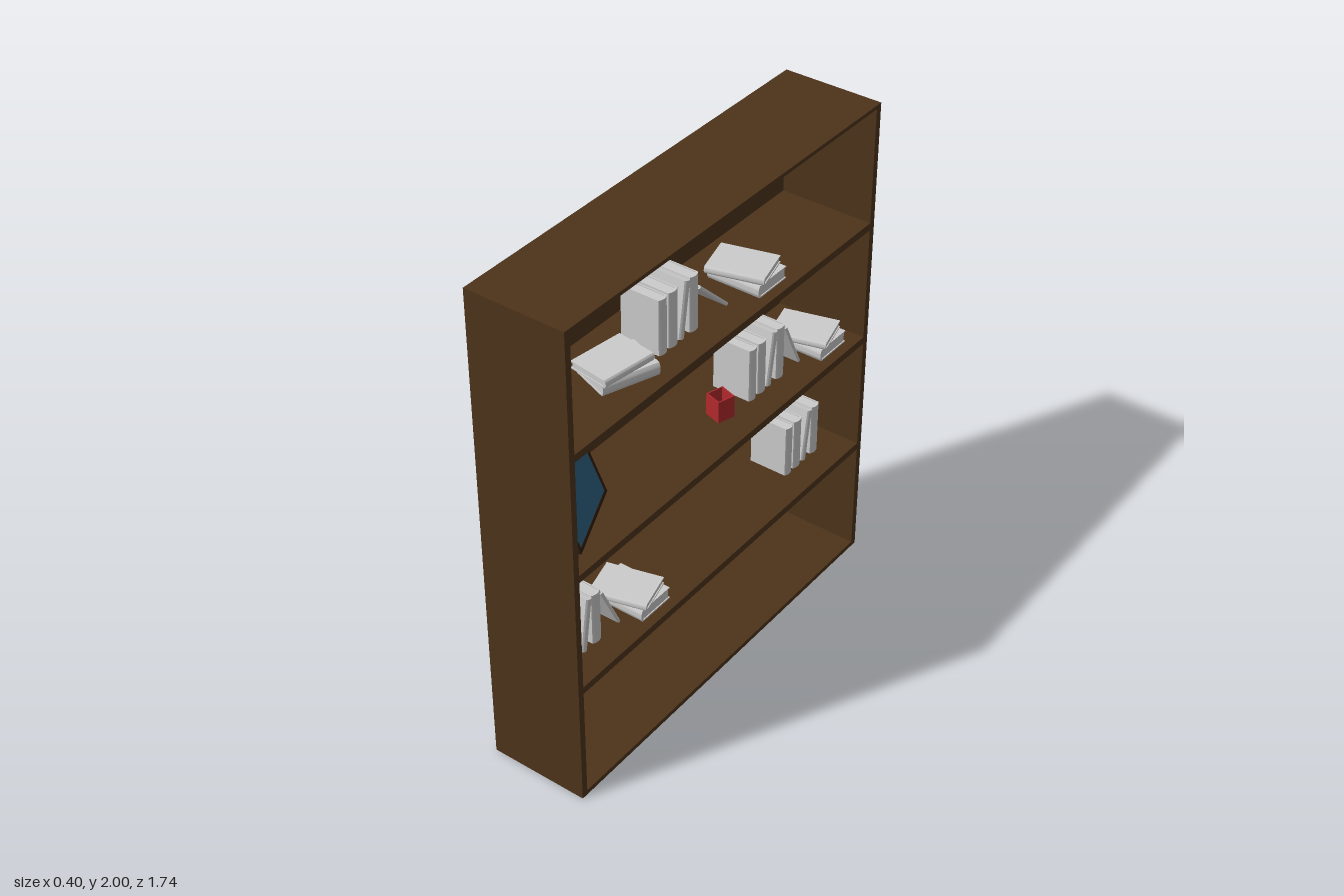
import * as THREE from 'three';
import { toCreasedNormals } from 'three/addons/utils/BufferGeometryUtils.js';

const wood = new THREE.MeshStandardMaterial({ color: 0x4d331a });
const darkWood = new THREE.MeshStandardMaterial({ color: 0x2e1c0c });
const grey = new THREE.MeshStandardMaterial({ color: 0xcccccc });
const blue = new THREE.MeshStandardMaterial({ color: 0x2b5f7d });
const red = new THREE.MeshStandardMaterial({ color: 0xb0282c });
const rad = THREE.MathUtils.degToRad;

const BOOK_H = 0.22;
const BOOK_D = 0.165;

function box(name, material, w, h, d, x, y, z) {
  const mesh = new THREE.Mesh(new THREE.BoxGeometry(w, h, d), material);
  mesh.name = name;
  mesh.position.set(x, y, z);
  return mesh;
}

// Upright book: spine towards +x, thickness along z, standing on y = 0
function book(thick) {
  const g = new THREE.Group();
  g.name = 'book';
  const t = thick / 2, d = BOOK_D / 2, board = Math.min(0.005, thick * 0.2);
  const bulge = Math.min(0.008, t * 0.5);
  const s = new THREE.Shape();
  s.moveTo(-d, -t);
  s.lineTo(d - bulge, -t);
  s.quadraticCurveTo(d + bulge, 0, d - bulge, t);
  s.lineTo(-d, t);
  s.lineTo(-d, t - board);
  s.lineTo(d - bulge - board, t - board);
  s.lineTo(d - bulge - board, -t + board);
  s.lineTo(-d, -t + board);
  s.closePath();
  const geo = new THREE.ExtrudeGeometry(s, { depth: BOOK_H, bevelEnabled: false, curveSegments: 8 });
  geo.rotateX(-Math.PI / 2);
  const cover = new THREE.Mesh(toCreasedNormals(geo, 0.6), grey);
  cover.name = 'bookCover';
  g.add(cover);
  g.add(box('pages', grey, BOOK_D - 0.014, BOOK_H - 0.008, thick - 2 * board + 0.0005,
    -0.003, BOOK_H / 2, 0));
  return g;
}

// A book on its end; a positive lean tips its top towards +z
function standing(thick, y, z, lean = 0) {
  const b = book(thick);
  b.rotation.x = rad(lean);
  b.position.set(0.015, y + Math.abs(Math.sin(rad(lean))) * thick / 2, z);
  return b;
}

// A book lying on its cover, turned about the vertical
function lying(thick, x, y, z, yaw) {
  const b = book(thick);
  b.rotation.x = Math.PI / 2;
  b.position.set(0, thick / 2, -BOOK_H / 2);
  const g = new THREE.Group();
  g.name = 'lyingBook';
  g.add(b);
  g.rotation.y = rad(yaw);
  g.position.set(x, y, z);
  return g;
}

// Three straight books and one slightly leaning
function bookRow(y, z) {
  const g = new THREE.Group();
  g.name = 'bookRow';
  g.add(standing(0.045, y, z - 0.022), standing(0.048, y, z - 0.078),
    standing(0.03, y, z - 0.122, -9), standing(0.048, y, z - 0.193));
  return g;
}

// Two books lying crosswise, the upper one turned
function bookStack(y, z) {
  const g = new THREE.Group();
  g.name = 'bookStack';
  g.add(lying(0.05, 0.05, y, z, -90), lying(0.03, 0.05, y + 0.055, z + 0.026, -75));
  return g;
}

function bookcase() {
  const g = new THREE.Group();
  g.name = 'bookcase';
  for (const s of [1, -1]) g.add(box('sidePanel', wood, 0.4, 2, 0.026, 0, 1, s * 0.857));
  g.add(box('backPanel', wood, 0.02, 2, 1.69, -0.19, 1, 0));
  g.add(box('topPanel', wood, 0.38, 0.015, 1.688, 0.01, 1.9925, 0));
  g.add(box('bottomPanel', wood, 0.38, 0.02, 1.688, 0.01, 0.01, 0));
  for (const y of [0.52, 1.02, 1.52]) g.add(box('shelf', wood, 0.38, 0.03, 1.688, 0.01, y - 0.015, 0));
  return g;
}

// Picture leaning back, built facing +x with its lower edge at the origin
function pictureFrame() {
  const tilt = new THREE.Group();
  const w = 0.34, h = 0.24, b = 0.014;
  tilt.add(box('picture', blue, 0.012, h - b, w - b, -0.008, h / 2, 0));
  for (const s of [1, -1]) {
    tilt.add(box('frameSide', darkWood, 0.018, h, b, -0.009, h / 2, s * (w - b) / 2));
    tilt.add(box('frameRail', darkWood, 0.018, b, w - 2 * b, -0.009, h / 2 + s * (h - b) / 2, 0));
  }
  tilt.rotation.z = rad(20);
  const g = new THREE.Group();
  g.name = 'pictureFrame';
  g.add(tilt);
  g.rotation.y = rad(24);
  g.position.set(0.07, 1.022, 0.6);
  return g;
}

// Square open-topped pot
function redPot() {
  const g = new THREE.Group();
  g.name = 'pot';
  const w = 0.072, h = 0.09, t = 0.005;
  g.add(box('potBase', red, w, t, w, 0, t / 2, 0));
  for (const s of [1, -1]) {
    g.add(box('potWall', red, t, h, w, s * (w - t) / 2, h / 2, 0));
    g.add(box('potWall', red, w - 2 * t, h, t, 0, h / 2, s * (w - t) / 2));
  }
  g.rotation.y = rad(-17);
  g.position.set(0.055, 1.02, -0.135);
  return g;
}

export function createModel() {
  const model = new THREE.Group();
  model.name = 'filledBookcase';
  model.add(bookcase(), pictureFrame(), redPot());

  // Lower and middle shelves: row, propped thin book, stack
  for (const [y, z] of [[0.52, 0.825], [1.02, -0.26]]) {
    model.add(bookRow(y, z), standing(0.013, y, z - 0.312, 25), bookStack(y, z - 0.437));
  }
  model.add(bookRow(0.52, -0.51));

  // Upper shelf
  model.add(bookRow(1.52, 0.265), standing(0.013, 1.52, -0.112, 46), bookStack(1.52, -0.287));
  model.add(lying(0.05, 0.045, 1.52, 0.423, -20), lying(0.03, 0.045, 1.575, 0.452, -8));
  return model;
}
